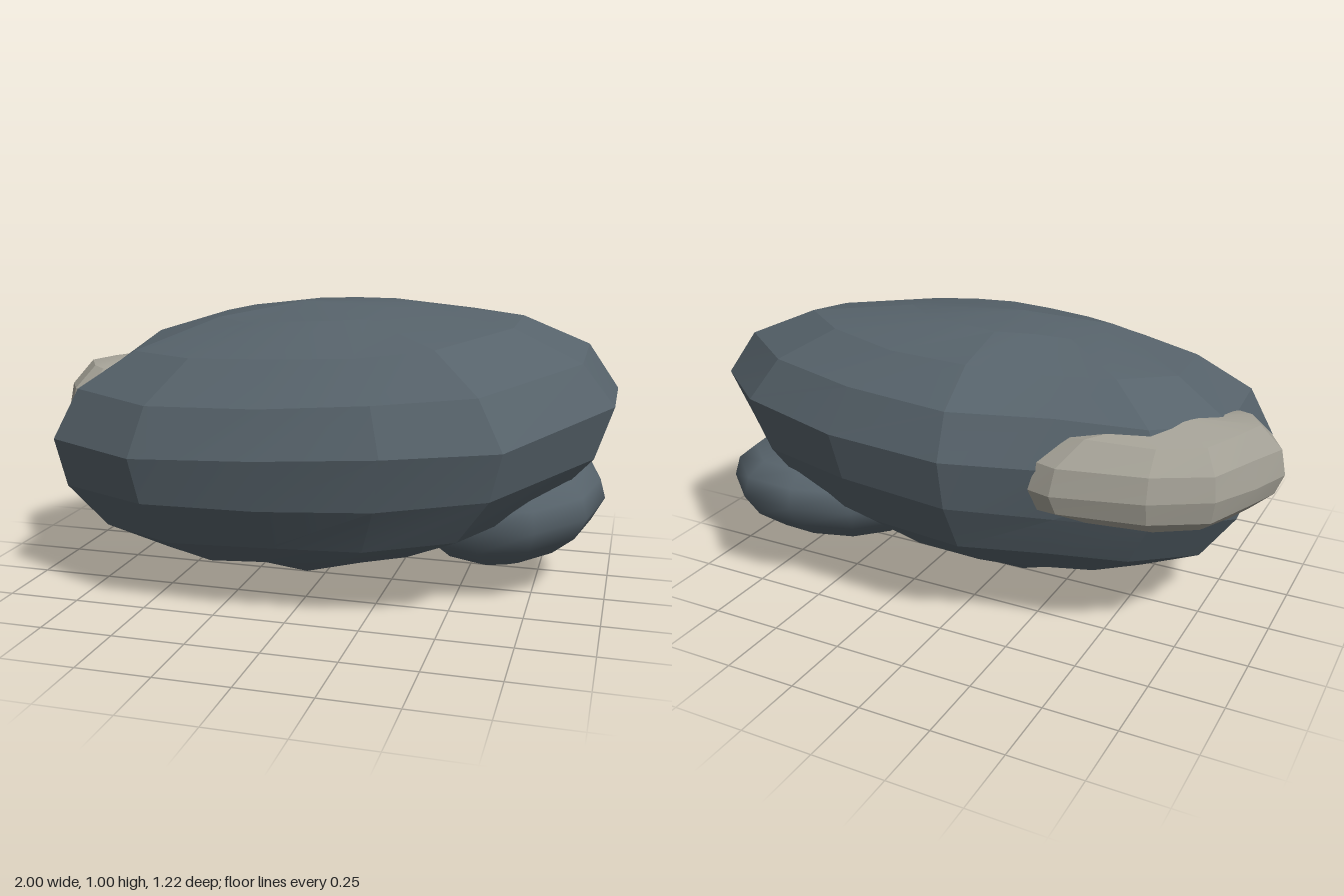
import * as THREE from 'three';
import { toCreasedNormals } from 'three/addons/utils/BufferGeometryUtils.js';

// Small seeded generator for the uneven stone surface
function makeRandom(seed) {
  return () => {
    seed = (seed * 16807) % 2147483647;
    return seed / 2147483647 - 0.5;
  };
}

// Stone from a plan outline [x, z] (running from +x towards +z), scaled about a pole
// by profile rings [scale, y] from bottom to top; tilt lifts the rings: [constant, x, z]
function stone({ pole, outline, profile, tilt, rough = 0, seed = 1, crease }) {
  const rand = makeRandom(seed);
  const [px, pz] = pole;
  const n = outline.length;
  const last = profile.length - 1;
  const positions = [px, profile[0][1], pz];
  const index = [];
  for (let i = 1; i < last; i++) {
    const [s, y] = profile[i];
    for (const [ox, oz] of outline) {
      const k = s * (1 + (s < 1 ? rough * rand() : 0));
      const dx = (ox - px) * k, dz = (oz - pz) * k;
      const lift = s * tilt[0] + tilt[1] * dx + tilt[2] * dz;
      positions.push(px + dx, y + lift + rough * 0.4 * rand(), pz + dz);
    }
  }
  positions.push(px, profile[last][1], pz);
  const top = positions.length / 3 - 1;
  const at = (ring, j) => 1 + (ring - 1) * n + (j % n);
  for (let j = 0; j < n; j++) {
    index.push(0, at(1, j), at(1, j + 1));
    for (let i = 1; i < last - 1; i++) {
      const a = at(i, j), b = at(i, j + 1), c = at(i + 1, j), d = at(i + 1, j + 1);
      index.push(a, c, b, b, c, d);
    }
    index.push(at(last - 1, j), top, at(last - 1, j + 1));
  }
  const geometry = new THREE.BufferGeometry();
  geometry.setAttribute('position', new THREE.Float32BufferAttribute(positions, 3));
  geometry.setIndex(index);
  geometry.computeVertexNormals();
  return crease === undefined ? geometry : toCreasedNormals(geometry, crease);
}

export function createModel() {
  const group = new THREE.Group();
  const slate = new THREE.MeshStandardMaterial({ color: 0x56626a });
  slate.name = 'slate grey';
  const sand = new THREE.MeshStandardMaterial({ color: 0xa5a297 });
  sand.name = 'pale sandstone';

  const add = (name, material, options) => {
    const mesh = new THREE.Mesh(stone(options), material);
    mesh.name = name;
    group.add(mesh);
  };

  // Large faceted boulder with a pointed underside
  add('mainBoulder', slate, {
    pole: [-0.07, 0],
    outline: [
      [1, 0], [0.69, 0.47], [0.33, 0.58], [-0.07, 0.605], [-0.5, 0.585], [-0.86, 0.4],
      [-0.91, -0.06], [-0.71, -0.34], [-0.4, -0.45], [-0.07, -0.615], [0.34, -0.6],
      [0.73, -0.5], [1, -0.27],
    ],
    profile: [
      [0, 0], [0.32, 0.1], [0.57, 0.16], [0.8, 0.26], [0.94, 0.42], [1, 0.59],
      [0.9, 0.75], [0.68, 0.87], [0.35, 0.96], [0, 1],
    ],
    tilt: [0.03, 0.05, -0.09],
    rough: 0.035,
    seed: 77,
    crease: 0.2,
  });

  // Smooth stone under the left side
  add('lowerStone', slate, {
    pole: [0.6, -0.12],
    outline: [
      [0.98, -0.16], [0.93, 0.05], [0.77, 0.2], [0.58, 0.24], [0.4, 0.16], [0.27, -0.05],
      [0.25, -0.25], [0.38, -0.44], [0.58, -0.53], [0.77, -0.53], [0.93, -0.38],
    ],
    profile: [
      [0, 0.06], [0.35, 0.1], [0.65, 0.15], [0.88, 0.22], [1, 0.3],
      [0.95, 0.37], [0.8, 0.42], [0.4, 0.44], [0, 0.45],
    ],
    tilt: [0, 0.04, -0.09],
  });

  // Pale slab wedged into the back right side
  add('paleSlab', sand, {
    pole: [-0.68, -0.16],
    outline: [
      [-0.4, -0.1], [-0.6, 0.05], [-0.8, 0.14], [-0.87, 0.17], [-0.93, 0.13], [-1, 0.01],
      [-0.95, -0.14], [-0.87, -0.32], [-0.69, -0.44], [-0.4, -0.51], [-0.32, -0.49],
    ],
    profile: [
      [0, 0.44], [0.7, 0.46], [0.93, 0.51], [1, 0.58], [0.94, 0.67], [0.74, 0.745], [0, 0.78],
    ],
    tilt: [0, 0, -0.03],
    rough: 0.03,
    seed: 12,
    crease: 0.2,
  });

  // Pale chip caught between the two grey stones
  add('paleChip', sand, {
    pole: [0.8, -0.06],
    outline: [[0.88, -0.05], [0.84, 0.04], [0.7, 0.04], [0.66, -0.06], [0.72, -0.14], [0.87, -0.13]],
    profile: [[0, 0.38], [0.8, 0.4], [1, 0.43], [0.8, 0.46], [0, 0.47]],
    tilt: [0, 0, -0.05],
    crease: 0.3,
  });

  return group;
}
